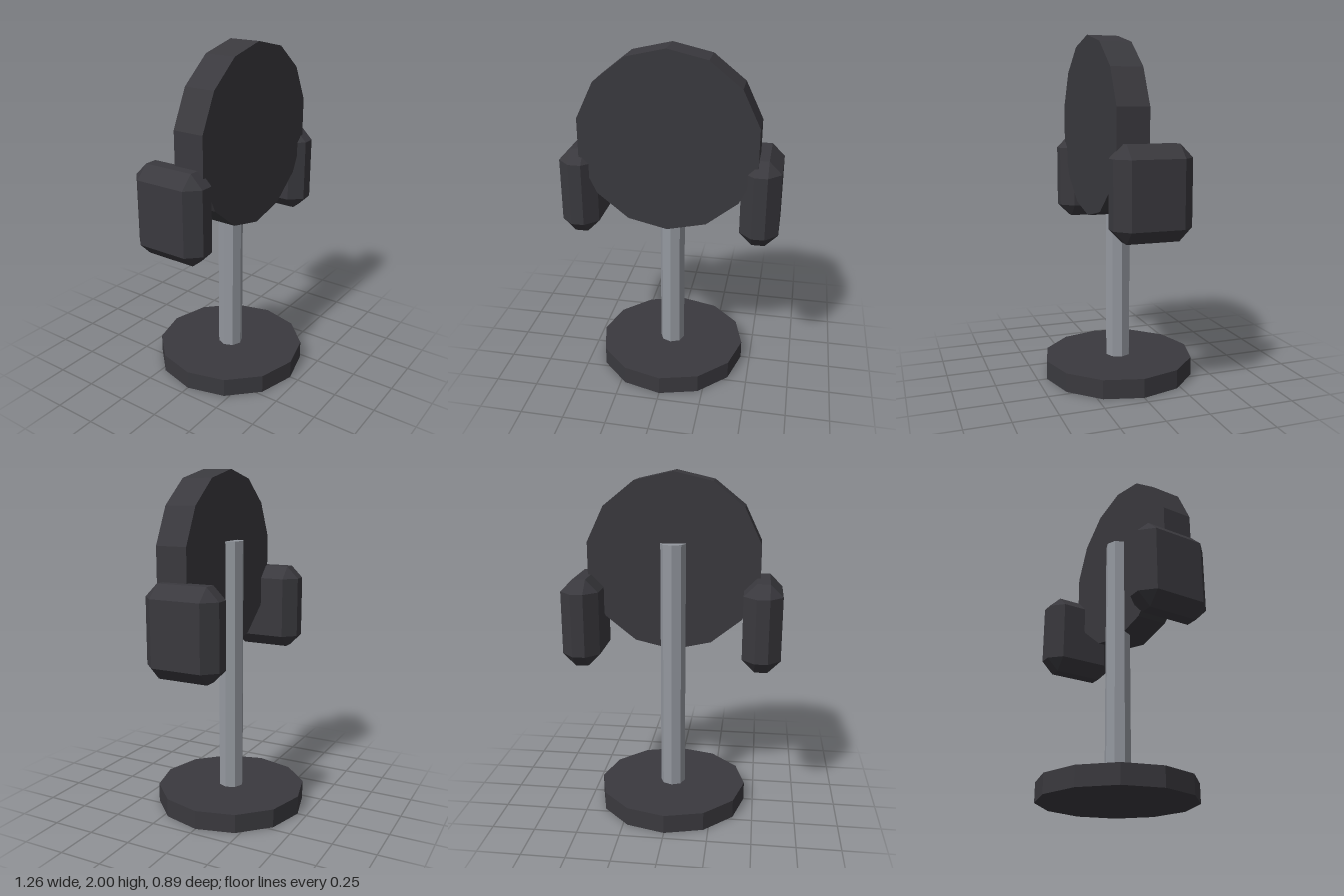
import * as THREE from 'three';
import { ConvexGeometry } from 'three/addons/geometries/ConvexGeometry.js';

// Low-poly prism with faceted normals
function prism(radius, height, sides) {
  const g = new THREE.CylinderGeometry(radius, radius, height, sides).toNonIndexed();
  g.computeVertexNormals();
  return g;
}

// Box with every edge and corner chamfered by b; hx, hy, hz are half sizes
function chamferedBox(hx, hy, hz, b) {
  const points = [];
  for (const x of [-1, 1]) for (const y of [-1, 1]) for (const z of [-1, 1]) {
    points.push(
      new THREE.Vector3(x * hx, y * (hy - b), z * (hz - b)),
      new THREE.Vector3(x * (hx - b), y * hy, z * (hz - b)),
      new THREE.Vector3(x * (hx - b), y * (hy - b), z * hz));
  }
  return new ConvexGeometry(points);
}

export function createModel() {
  const group = new THREE.Group();
  const dark = new THREE.MeshStandardMaterial({ color: 0x3a393e });
  dark.name = 'charcoal';
  const metal = new THREE.MeshStandardMaterial({ color: 0x94989f });
  metal.name = 'grey metal';

  const add = (name, geometry, material, x, y, z) => {
    const mesh = new THREE.Mesh(geometry, material);
    mesh.name = name;
    mesh.position.set(x, y, z);
    group.add(mesh);
    return mesh;
  };

  // Round foot and upright pole
  add('base', prism(0.445, 0.11, 12), dark, 0, 0.055, 0);
  add('pole', prism(0.074, 1.5, 8), metal, 0, 0.85, 0);

  // Upright disc in front of the pole, one corner pointing up
  const disc = prism(0.515, 0.184, 14);
  disc.rotateY(Math.PI).rotateX(Math.PI / 2);
  add('disc', disc, dark, 0, 1.485, 0.092);

  // Chamfered pods on both sides of the disc
  const pod = chamferedBox(0.11, 0.257, 0.221, 0.073);
  add('leftPod', pod, dark, 0.52, 1.153, 0);
  add('rightPod', pod, dark, -0.52, 1.153, 0);

  return group;
}
